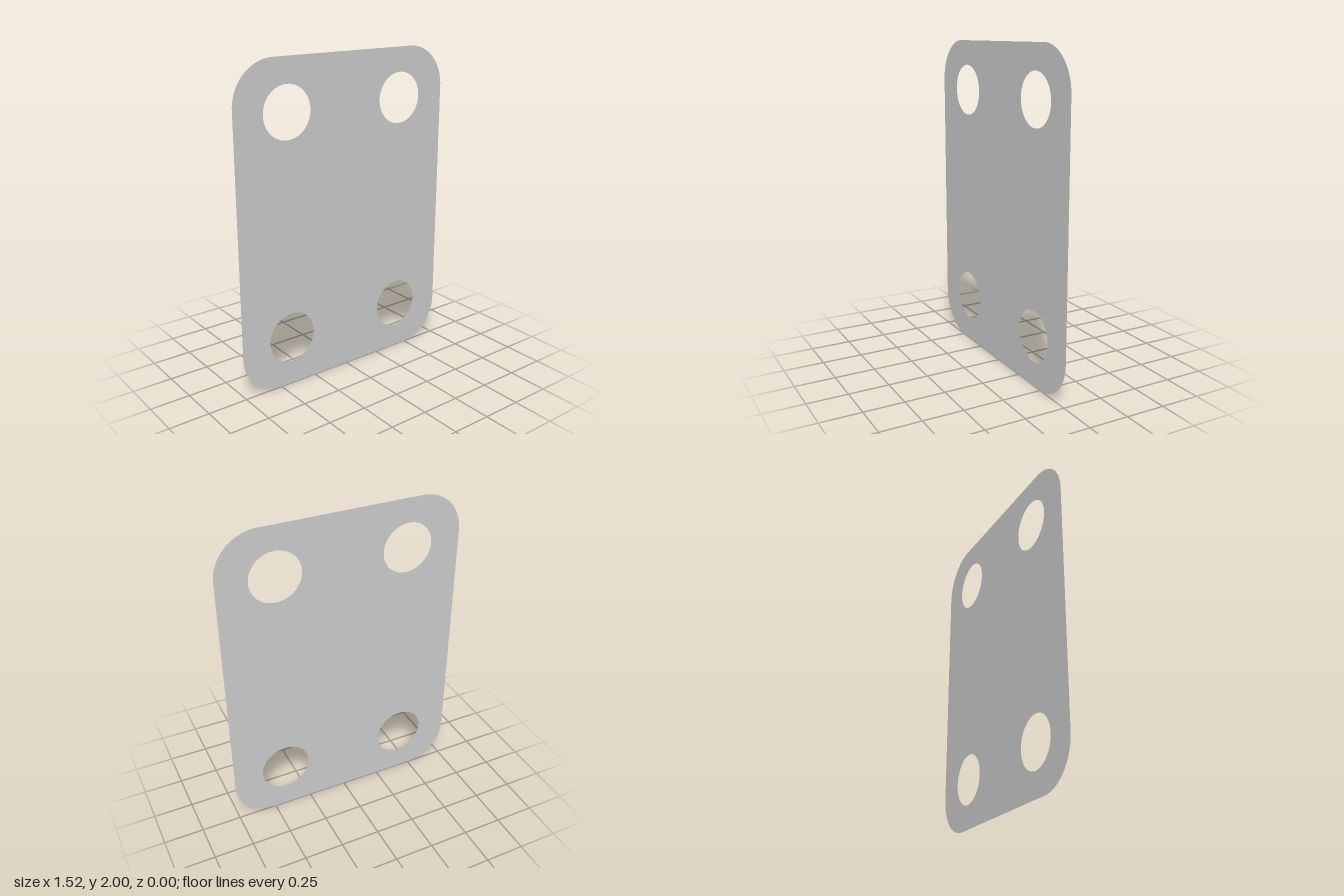
import * as THREE from 'three';

const HALF_W = 0.76, HEIGHT = 2, CORNER = 0.265;
const HOLE_X = 0.413, HOLE_Y = 0.69, HOLE_R = 0.158;

// Rounded rectangle standing on y = 0
function plateOutline() {
  const w = HALF_W, h = HEIGHT, r = CORNER;
  const shape = new THREE.Shape();
  shape.moveTo(-w + r, 0);
  shape.absarc(w - r, r, r, -Math.PI / 2, 0);
  shape.absarc(w - r, h - r, r, 0, Math.PI / 2);
  shape.absarc(-w + r, h - r, r, Math.PI / 2, Math.PI);
  shape.absarc(-w + r, r, r, Math.PI, Math.PI * 1.5);
  shape.closePath();
  return shape;
}

export function createModel() {
  const group = new THREE.Group();
  group.name = 'mountingPlate';

  const outline = plateOutline();

  // Four bolt holes, mirrored about the plate centre
  for (const sx of [-1, 1]) {
    for (const sy of [-1, 1]) {
      const hole = new THREE.Path();
      hole.absarc(sx * HOLE_X, HEIGHT / 2 + sy * HOLE_Y, HOLE_R, 0, Math.PI * 2, true);
      outline.holes.push(hole);
    }
  }

  // Sheet without thickness, visible from both sides
  const plate = new THREE.Mesh(
    new THREE.ShapeGeometry(outline, 32),
    new THREE.MeshStandardMaterial({ color: 0xcccccc, side: THREE.DoubleSide })
  );
  plate.name = 'plate';
  group.add(plate);
  return group;
}
